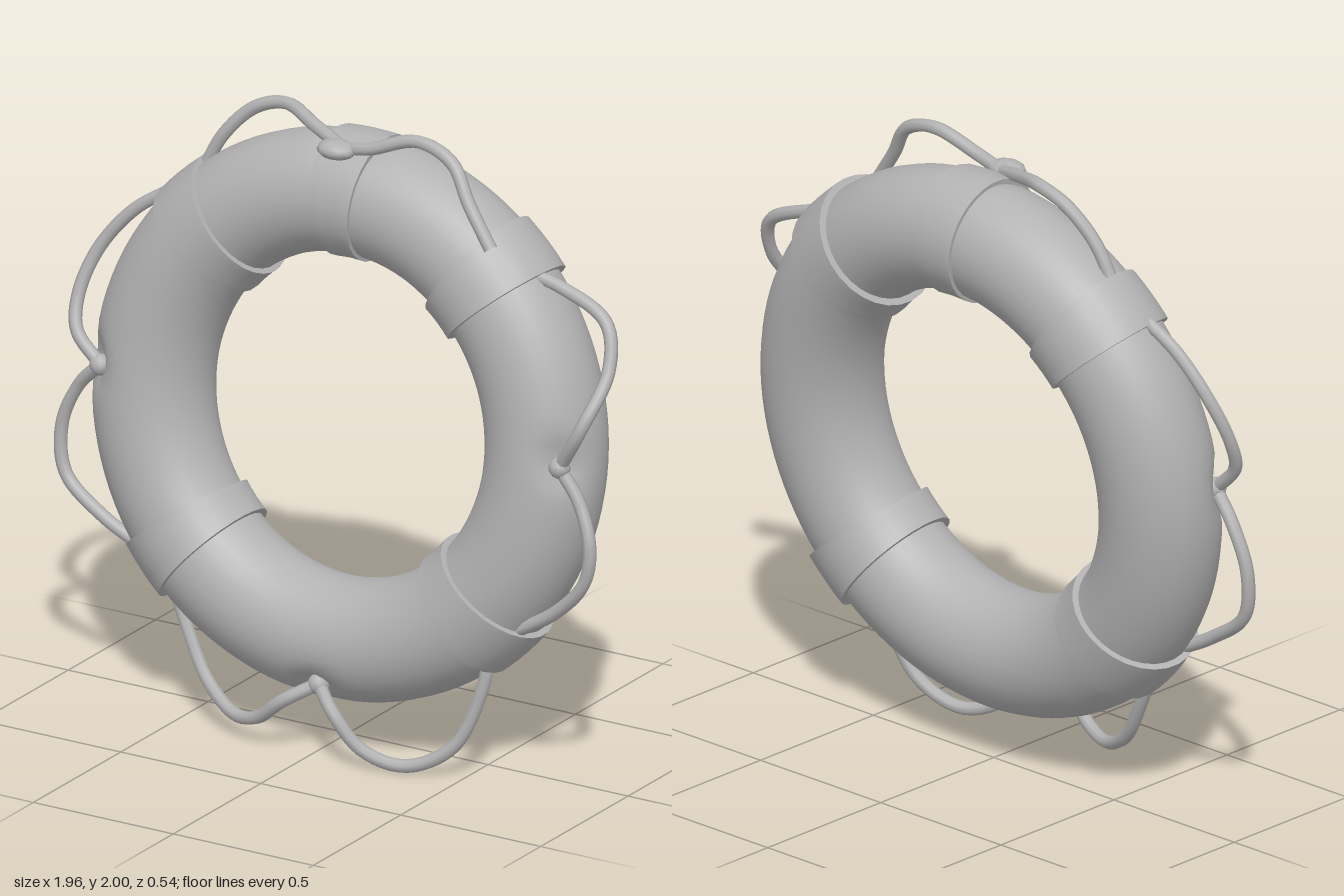
import * as THREE from 'three';
import { mergeVertices, toCreasedNormals } from 'three/addons/utils/BufferGeometryUtils.js';

const MAJOR = 0.7, RADIAL = 0.19, AXIAL = 0.185;
const TILT = -0.1, CENTRE = new THREE.Vector3(0.005, 1.035, -0.005);

// Point on the ring's tube: a runs round the ring, b round the tube, grow swells the tube
function tubePoint(a, b, grow) {
  const r = MAJOR + (RADIAL + grow) * Math.cos(b);
  return new THREE.Vector3(r * Math.cos(a), r * Math.sin(a), (AXIAL + grow) * Math.sin(b));
}

// Lofted arc of tube; grows gives the swelling of each cross-section
function tubeSection(angles, grows, sides) {
  const pos = [], index = [];
  angles.forEach((a, i) => {
    for (let j = 0; j < sides; j++) pos.push(...tubePoint(a, j / sides * Math.PI * 2, grows[i]).toArray());
  });
  for (let i = 0; i < angles.length - 1; i++) {
    for (let j = 0; j < sides; j++) {
      const k = (j + 1) % sides;
      const p = i * sides + j, q = i * sides + k, r = p + sides, s = q + sides;
      index.push(p, r, q, q, r, s);
    }
  }
  const g = new THREE.BufferGeometry();
  g.setAttribute('position', new THREE.Float32BufferAttribute(pos, 3));
  g.setIndex(index);
  return g;
}

export function createModel() {
  const model = new THREE.Group();
  model.name = 'lifebuoy';
  const grey = new THREE.MeshStandardMaterial({ color: 0xb2b2b2 });
  grey.name = 'plain grey';

  const add = (parent, name, geometry) => {
    const mesh = new THREE.Mesh(geometry, grey);
    mesh.name = name;
    parent.add(mesh);
    return mesh;
  };

  // Leaning float
  const float = new THREE.Group();
  float.name = 'float';
  float.position.copy(CENTRE);
  float.rotation.x = TILT;
  model.add(float);

  // Ring, dented where the rope is tied on
  const dents = [
    tubePoint(0.04, 0.75, 0), tubePoint(Math.PI - 0.04, 0.75, 0),
    tubePoint(-Math.PI / 2, 0.75, 0), tubePoint(Math.PI / 2, 0.45, 0)
  ];
  let ring = new THREE.TorusGeometry(MAJOR, RADIAL, 32, 112);
  ring.scale(1, 1, AXIAL / RADIAL);
  ring.deleteAttribute('uv');
  ring.deleteAttribute('normal');
  ring = mergeVertices(ring, 1e-4);
  const p = ring.attributes.position, v = new THREE.Vector3();
  for (let i = 0; i < p.count; i++) {
    v.fromBufferAttribute(p, i);
    const core = new THREE.Vector3(v.x, v.y, 0).setLength(MAJOR);
    let depth = 0;
    for (const d of dents) depth += 0.2 * Math.exp(-v.distanceToSquared(d) / 0.004);
    v.lerp(core, depth);
    p.setXYZ(i, v.x, v.y, v.z);
  }
  ring.computeVertexNormals();
  add(float, 'ring', ring);

  // Wrapped bands: angle round the ring, half width, thickness
  const bands = [
    ['topBand', 90, 0.1, 0.012],
    ['upperLeftBand', 47, 0.105, 0.022],
    ['upperRightBand', 134, 0.105, 0.018],
    ['lowerRightBand', 223, 0.105, 0.02],
    ['lowerLeftBand', -44, 0.105, 0.02]
  ];
  for (const [name, degrees, half, thick] of bands) {
    const a = THREE.MathUtils.degToRad(degrees);
    const steps = [-1, -1, -0.5, 0, 0.5, 1, 1];
    const grows = steps.map((s, i) => (i === 0 || i === 6 ? -0.02 : thick));
    add(float, name, toCreasedNormals(tubeSection(steps.map(s => a + s * half), grows, 28), 0.7));
  }

  // Grab rope: slack loops running between the bands and the tie points
  const loops = [
    [[0.0, 1.91, 0.03], [0.1, 1.93, 0.04], [0.26, 1.98, 0.02], [0.39, 1.94, 0.03], [0.47, 1.83, 0.06], [0.56, 1.71, 0.08]],
    [[0.62, 1.62, -0.02], [0.74, 1.59, -0.03], [0.91, 1.51, -0.02], [0.95, 1.38, 0.03], [0.92, 1.22, 0.14], [0.83, 1.07, 0.12]],
    [[0.83, 1.07, 0.12], [0.9, 0.97, 0.12], [0.95, 0.84, 0.14], [0.93, 0.72, 0.14], [0.82, 0.6, 0.13], [0.66, 0.5, 0.12]],
    [[0.57, 0.42, 0.11], [0.56, 0.31, 0.12], [0.47, 0.1, 0.15], [0.32, 0.02, 0.19], [0.19, 0.06, 0.23], [0.1, 0.17, 0.25], [0.02, 0.23, 0.2]],
    [[0.02, 0.23, 0.2], [-0.08, 0.17, 0.25], [-0.18, 0.09, 0.23], [-0.28, 0.07, 0.2], [-0.41, 0.14, 0.15], [-0.5, 0.28, 0.12], [-0.56, 0.42, 0.11]],
    [[-0.65, 0.5, 0.11], [-0.8, 0.58, 0.12], [-0.94, 0.69, 0.11], [-0.96, 0.84, 0.1], [-0.9, 0.98, 0.1], [-0.81, 1.07, 0.12]],
    [[-0.81, 1.07, 0.12], [-0.9, 1.16, 0.11], [-0.92, 1.26, 0.07], [-0.88, 1.4, 0.02], [-0.77, 1.54, -0.01], [-0.64, 1.63, -0.03]],
    [[-0.56, 1.68, -0.05], [-0.48, 1.83, -0.06], [-0.38, 1.93, -0.08], [-0.27, 1.965, -0.08], [-0.13, 1.94, -0.02], [0.0, 1.91, 0.03]]
  ];
  const rope = new THREE.Group();
  rope.name = 'grabRope';
  model.add(rope);
  loops.forEach((points, i) => {
    const curve = new THREE.CatmullRomCurve3(points.map(q => new THREE.Vector3(...q)));
    add(rope, `ropeLoop${i + 1}`, new THREE.TubeGeometry(curve, 36, 0.021, 8));
  });

  // Small knots at the tie points
  const knots = [[0.83, 1.07, 0.12], [-0.81, 1.07, 0.12], [0.02, 0.23, 0.2], [-0.01, 1.91, 0.05]];
  knots.forEach((q, i) => {
    const knot = add(rope, `knot${i + 1}`, new THREE.SphereGeometry(0.034, 12, 8));
    knot.position.set(...q);
    if (i === 3) knot.scale.set(1.9, 0.9, 1.5);
  });

  return model;
}
